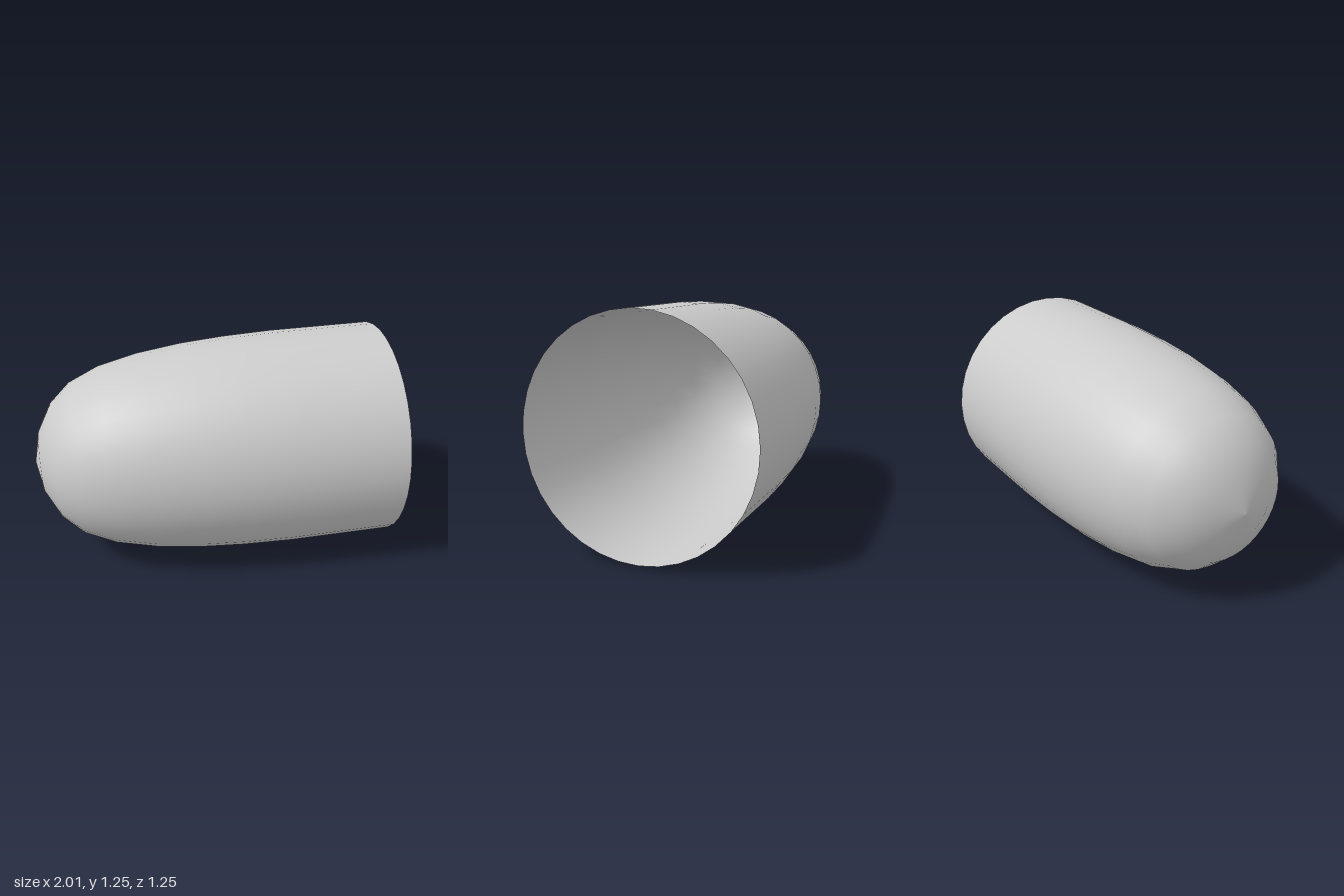
import * as THREE from 'three';

// Thin open-ended shell with a rounded nose, lying along x with a slight tilt.
export function createModel() {
  const group = new THREE.Group();
  group.name = 'roundedShell';

  // [radius, distance from the nose tip along the axis]
  const profile = [
    [0, 0], [0.175, 0.036], [0.323, 0.116], [0.43, 0.232], [0.506, 0.402],
    [0.557, 0.622], [0.591, 0.877], [0.608, 1.12], [0.617, 1.4], [0.616, 1.982],
  ].map(([r, t]) => new THREE.Vector2(r, t));

  const shell = new THREE.Mesh(
    new THREE.LatheGeometry(profile, 36),
    new THREE.MeshStandardMaterial({ color: 0xcccccc, side: THREE.DoubleSide })
  );
  shell.name = 'shell';

  // Aim the lathe axis from the nose towards the open rim
  const axis = new THREE.Vector3(1, 0.0285, 0.0285).normalize();
  shell.quaternion.setFromUnitVectors(new THREE.Vector3(0, 1, 0), axis);
  shell.position.set(-1, 0.578, -0.046);

  group.add(shell);
  return group;
}
